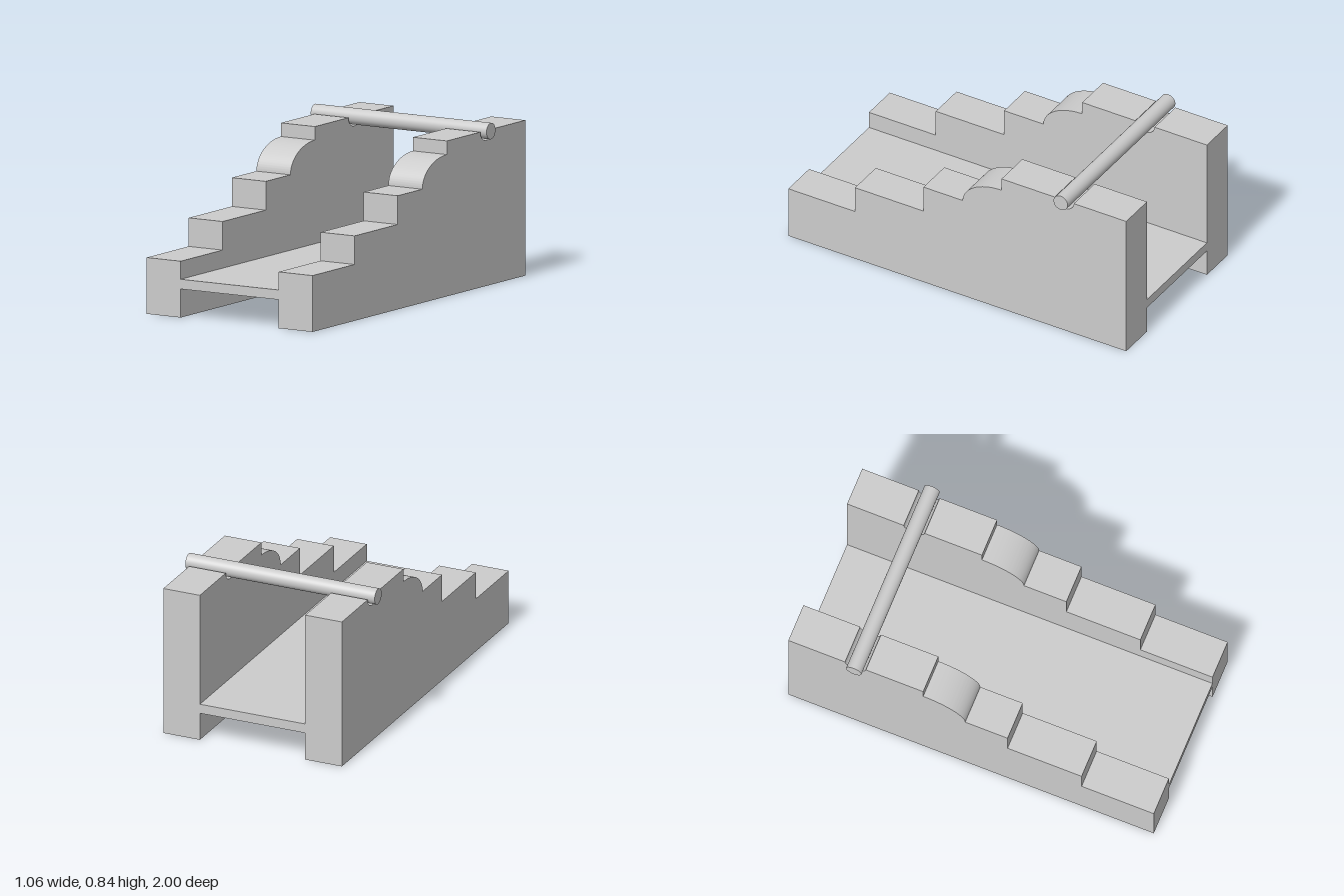
import * as THREE from 'three';
import { toCreasedNormals } from 'three/addons/utils/BufferGeometryUtils.js';

const WALL_INNER = 0.295, WALL_OUTER = 0.5;

// Stepped side profile; shape x runs from front (-1) to back (+1)
function wallProfile() {
  const s = new THREE.Shape();
  s.moveTo(-1, 0);
  s.lineTo(-1, 0.29);
  s.lineTo(-0.605, 0.29);
  s.lineTo(-0.605, 0.437);
  s.lineTo(-0.2, 0.437);
  s.lineTo(-0.2, 0.585);
  // rounded step
  s.absellipse(0.262, 0.585, 0.23, 0.145, Math.PI, Math.PI / 2, true);
  s.lineTo(0.262, 0.8);
  // cradle for the bar
  s.absellipse(0.633, 0.8, 0.057, 0.05, Math.PI, 2 * Math.PI, false);
  s.lineTo(1, 0.8);
  s.lineTo(1, 0);
  s.closePath();
  return s;
}

export function createModel() {
  const group = new THREE.Group();
  const material = new THREE.MeshStandardMaterial({ color: 0xcccccc });
  const add = (name, geometry, x, y, z) => {
    const mesh = new THREE.Mesh(geometry, material);
    mesh.name = name;
    mesh.position.set(x, y, z);
    group.add(mesh);
  };

  // Side walls
  const extruded = new THREE.ExtrudeGeometry(wallProfile(), {
    depth: WALL_OUTER - WALL_INNER, bevelEnabled: false, curveSegments: 20,
  });
  extruded.rotateY(Math.PI / 2);
  const wall = toCreasedNormals(extruded, Math.PI / 6);
  add('leftWall', wall, WALL_INNER, 0, 0);
  add('rightWall', wall, -WALL_OUTER, 0, 0);

  // Floor panel between the walls
  add('floorPanel', new THREE.BoxGeometry(2 * WALL_INNER, 0.05, 2), 0, 0.172, 0);

  // Round bar resting in the cradles
  const bar = new THREE.CylinderGeometry(0.042, 0.042, 1.06, 40);
  bar.rotateZ(Math.PI / 2);
  add('crossBar', bar, 0, 0.8, -0.63);

  return group;
}
